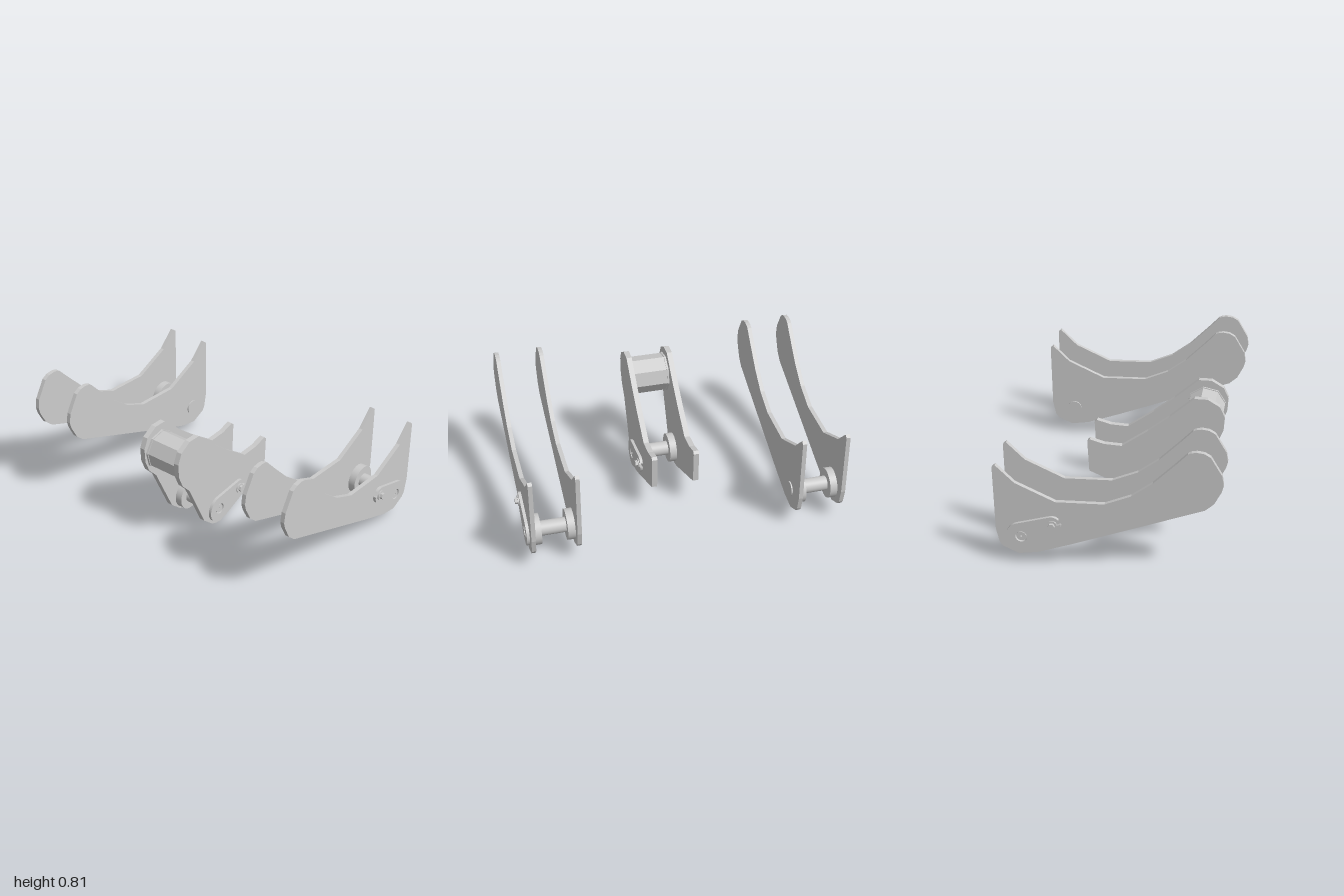
import * as THREE from 'three';

const material = new THREE.MeshStandardMaterial({ color: 0xcccccc });

// Profiles are [z, y] points
const sidePlateProfile = [
  [0.50, 0.805], [0.54, 0.80], [0.575, 0.78], [0.64, 0.67], [0.65, 0.61], [0.64, 0.57], [0.60, 0.49], [0.55, 0.445],
  [-0.20, 0.155], [-0.40, 0.083], [-0.51, 0.065], [-0.60, 0.105], [-0.62, 0.13], [-0.64, 0.22],
  [-0.645, 0.62], [-0.627, 0.635], [-0.52, 0.53], [-0.29, 0.425], [-0.01, 0.435],
  [0.14, 0.50], [0.26, 0.592], [0.385, 0.72], [0.45, 0.79], [0.47, 0.80],
];
const centrePlateProfile = [
  [0.40, 0.72], [0.48, 0.72], [0.555, 0.675], [0.585, 0.61], [0.58, 0.52], [0.55, 0.445], [0.49, 0.38],
  [0.355, 0.085], [0.28, 0.02], [0.24, 0.005], [0.20, 0], [0.15, 0.012],
  [-0.20, 0.155], [-0.245, 0.175], [-0.255, 0.38], [-0.24, 0.395],
  [-0.15, 0.37], [-0.04, 0.365], [0.12, 0.48], [0.25, 0.585],
];

function add(group, name, geometry) {
  const mesh = new THREE.Mesh(geometry, material);
  mesh.name = name;
  group.add(mesh);
  return mesh;
}

// Flat shape (horizontal axis = -z) thickened between x = a and x = b
function slab(group, name, shape, a, b) {
  const geometry = new THREE.ExtrudeGeometry(shape, { depth: Math.abs(b - a), bevelEnabled: false, curveSegments: 24 });
  geometry.rotateY(Math.PI / 2);
  const mesh = add(group, name, geometry);
  mesh.position.x = Math.min(a, b);
  return mesh;
}

function profileShape(points) {
  return new THREE.Shape(points.map(([z, y]) => new THREE.Vector2(-z, y)));
}

// Cylinder along x between a and b
function rod(group, name, radius, a, b, [z, y], sides = 40) {
  const geometry = new THREE.CylinderGeometry(radius, radius, Math.abs(b - a), sides);
  geometry.rotateZ(Math.PI / 2);
  const mesh = add(group, name, geometry);
  mesh.position.set((a + b) / 2, y, z);
}

// Teardrop keeper plate: pin hole at the origin, open bolt slot at distance d
function keeperShape(d, R, r) {
  const t = Math.acos((R - r) / d);
  const slot = 0.014;
  const s = Math.asin(slot / r);
  const shape = new THREE.Shape();
  shape.absarc(0, 0, R, t, Math.PI * 2 - t, false);
  shape.absarc(d, 0, r, -t, -s, false);
  shape.lineTo(d, -slot);
  shape.absarc(d, 0, slot, -Math.PI / 2, Math.PI / 2, true);
  shape.absarc(d, 0, r, s, t, false);
  shape.closePath();
  const hole = new THREE.Path();
  hole.absarc(0, 0, 0.034, 0, Math.PI * 2, true);
  shape.holes.push(hole);
  return shape;
}

// Pin, bosses and keeper; dir is the side (+1 / -1) carrying the keeper
function pinJoint(group, cx, dir, half, thick, pin, bolt, R, r) {
  const X = (v) => cx + dir * v;
  const inner = half - thick;
  rod(group, 'pin', 0.045, X(-inner), X(inner), pin);
  for (const s of [-1, 1]) rod(group, 'pinBoss', 0.093, X(s * (inner - 0.045)), X(s * inner), pin);
  rod(group, 'pinHead', 0.045, X(-half - 0.008), X(-half), pin);

  const du = pin[0] - bolt[0], dy = bolt[1] - pin[1];
  const keeper = slab(group, 'keeperPlate', keeperShape(Math.hypot(du, dy), R, r), X(half), X(half + 0.018));
  keeper.rotation.x = Math.atan2(dy, du);
  keeper.position.y = pin[1];
  keeper.position.z = pin[0];

  // Pin end with its centre hole
  const end = new THREE.Shape().absarc(0, 0, 0.028, 0, Math.PI * 2, false);
  end.holes.push(new THREE.Path().absarc(0, 0, 0.005, 0, Math.PI * 2, true));
  const endMesh = slab(group, 'pinEnd', end, X(half), X(half + 0.014));
  endMesh.position.y = pin[1];
  endMesh.position.z = pin[0];

  rod(group, 'boltWasher', 0.031, X(half + 0.016), X(half + 0.024), bolt, 28);
  const hex = new THREE.CylinderGeometry(0.02, 0.02, 0.016, 6).toNonIndexed();
  hex.rotateZ(Math.PI / 2);
  hex.computeVertexNormals();
  const head = add(group, 'boltHead', hex);
  head.position.set(X(half + 0.032), bolt[1], bolt[0]);
}

function platePair(group, name, profile, cx, half, thick) {
  for (const s of [-1, 1]) {
    slab(group, name, profileShape(profile), cx + s * half, cx + s * (half - thick));
  }
}

// Eight-sided spacer, thickened slightly at both ends
function spacer(group, [z, y], half) {
  const octagon = (radius) => new THREE.Shape(Array.from({ length: 8 }, (_, i) => {
    const a = Math.PI * (170 / 180 + i / 4);
    return new THREE.Vector2(-z + radius * Math.cos(a), y + radius * Math.sin(a));
  }));
  slab(group, 'spacer', octagon(0.119), -half, half);
  for (const s of [-1, 1]) slab(group, 'spacerEnd', octagon(0.124), s * half, s * (half - 0.012));
}

export function createModel() {
  const model = new THREE.Group();
  model.name = 'linkageBrackets';

  for (const s of [-1, 1]) {
    const bracket = new THREE.Group();
    bracket.name = s > 0 ? 'leftBracket' : 'rightBracket';
    platePair(bracket, 'sidePlate', sidePlateProfile, s * 0.812, 0.148, 0.026);
    pinJoint(bracket, s * 0.812, s, 0.148, 0.026, [-0.49, 0.191], [-0.31, 0.281], 0.087, 0.052);
    model.add(bracket);
  }

  const centre = new THREE.Group();
  centre.name = 'centreBracket';
  platePair(centre, 'centrePlate', centrePlateProfile, 0, 0.148, 0.034);
  pinJoint(centre, 0, 1, 0.148, 0.034, [0.225, 0.112], [0.033, 0.165], 0.087, 0.054);
  spacer(centre, [0.45, 0.556], 0.114);
  model.add(centre);

  return model;
}
